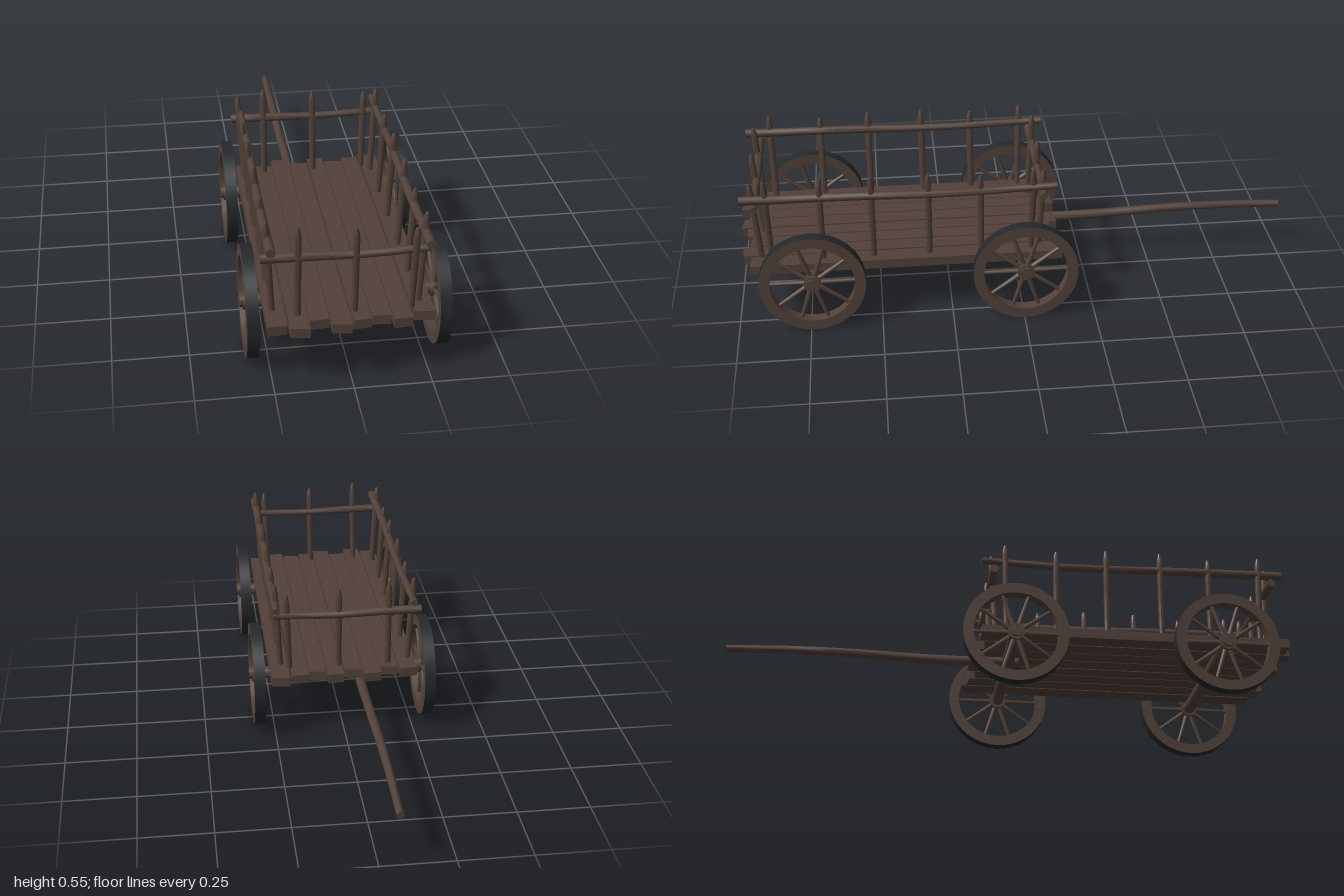
import * as THREE from 'three';
import { toCreasedNormals } from 'three/addons/utils/BufferGeometryUtils.js';

const wood = new THREE.MeshStandardMaterial({ color: 0x524139 });
wood.name = 'dark wood';
const iron = new THREE.MeshStandardMaterial({ color: 0x25282a });
iron.name = 'iron tyre';

const V = (x, y, z) => new THREE.Vector3(x, y, z);

function add(parent, name, geometry, material = wood) {
  const mesh = new THREE.Mesh(geometry, material);
  mesh.name = name;
  parent.add(mesh);
  return mesh;
}

// Capped round pole that follows a gentle curve through the points
function rod(points, r0, r1 = r0, sides = 12) {
  const curve = new THREE.CatmullRomCurve3(points);
  const dir = points[points.length - 1].clone().sub(points[0]).normalize();
  const turn = new THREE.Quaternion().setFromUnitVectors(V(0, 1, 0), dir);
  const geo = new THREE.CylinderGeometry(r1, r0, 1, sides, 10);
  const pos = geo.attributes.position;
  for (let i = 0; i < pos.count; i++) {
    const p = V(pos.getX(i), 0, pos.getZ(i)).applyQuaternion(turn);
    p.add(curve.getPoint(THREE.MathUtils.clamp(pos.getY(i) + 0.5, 0, 1)));
    pos.setXYZ(i, p.x, p.y, p.z);
  }
  return toCreasedNormals(geo, 0.9);
}

// Upright stake with a whittled tip
function addStake(parent, name, foot, top) {
  const h = top.distanceTo(foot);
  const profile = [[0, 0], [0.0105, 0], [0.0115, h * 0.6], [0.0115, h - 0.04],
    [0.009, h - 0.016], [0.005, h - 0.002], [0, h]].map(([x, y]) => new THREE.Vector2(x, y));
  const stake = add(parent, name, toCreasedNormals(new THREE.LatheGeometry(profile, 10), 0.9));
  stake.position.copy(foot);
  stake.quaternion.setFromUnitVectors(V(0, 1, 0), top.clone().sub(foot).normalize());
}

// Spoked wheel, its axis along x
function makeWheel() {
  const wheel = new THREE.Group();
  wheel.name = 'wheel';
  const R = 0.184, inner = 0.147, w = 0.0195;
  const profile = [[R, w], [inner, w], [inner, -w], [R, -w]].map(([x, y]) => new THREE.Vector2(x, y));
  const rim = add(wheel, 'rim', toCreasedNormals(new THREE.LatheGeometry(profile, 40), 0.6));
  const tyre = add(wheel, 'tyre', new THREE.CylinderGeometry(R, R, 2 * w, 40, 1, true), iron);
  const hub = add(wheel, 'hub', new THREE.CylinderGeometry(0.03, 0.03, 0.037, 16));
  for (const part of [rim, tyre, hub]) part.rotation.z = Math.PI / 2;
  for (let i = 0; i < 10; i++) {
    const a = (i + 0.5) * Math.PI / 5;
    const spoke = add(wheel, 'spoke', new THREE.CylinderGeometry(0.0065, 0.009, 0.13, 8));
    spoke.position.set(0, Math.cos(a) * 0.088, Math.sin(a) * 0.088);
    spoke.rotation.x = a;
  }
  return wheel;
}

export function createModel() {
  const cart = new THREE.Group();
  cart.name = 'handcart';

  // Floor planks: centre x, width, back end z, front end z
  const planks = [[-0.236, 0.062, -0.12, 0.97], [-0.168, 0.062, -0.1, 0.992],
    [-0.103, 0.062, -0.143, 0.95], [-0.037, 0.062, -0.11, 0.985], [0.029, 0.057, -0.14, 0.965],
    [0.092, 0.06, -0.11, 0.95], [0.157, 0.06, -0.13, 0.975], [0.227, 0.066, -0.143, 0.945]];
  planks.forEach(([x, width, z0, z1], i) => {
    const geo = new THREE.BoxGeometry(width, 0.033, z1 - z0);
    const pos = geo.attributes.position;
    // Slightly skewed saw cuts
    for (let k = 0; k < pos.count; k++) {
      pos.setZ(k, pos.getZ(k) + pos.getX(k) * (i % 2 ? 0.12 : -0.08));
    }
    geo.computeVertexNormals();
    add(cart, 'floorPlank', geo).position.set(x, 0.2135, (z0 + z1) / 2);
  });

  // Axles and wheels
  for (const z of [0.735, -0.005]) {
    add(cart, 'axle', rod([V(-0.333, 0.185, z), V(0.333, 0.185, z)], 0.022, 0.022, 16));
    for (const x of [-0.305, 0.305]) {
      const wheel = makeWheel();
      wheel.position.set(x, 0.184, z);
      cart.add(wheel);
    }
  }

  // Draw pole
  add(cart, 'drawPole', rod([V(-0.062, 0.184, 0.03), V(-0.064, 0.18, -0.25),
    V(-0.068, 0.188, -0.55), V(-0.068, 0.19, -0.75), V(-0.066, 0.184, -1)], 0.018, 0.013));

  // Side stakes and rails
  const sideZ = [0.88, 0.695, 0.52, 0.325, 0.145, -0.038];
  const sideTop = [0.548, 0.532, 0.548, 0.548, 0.533, 0.548];
  for (const [footX, topX, railX, railY] of [[-0.242, -0.262, -0.253, 0.482], [0.219, 0.238, 0.237, 0.475]]) {
    sideZ.forEach((z, i) => {
      const lean = i === 0 ? -0.008 : i === 5 ? 0.008 : 0;
      addStake(cart, 'sideStake', V(footX, 0.205, z + lean), V(topX, sideTop[i], z));
    });
    add(cart, 'sideRail', rod([V(railX, railY + 0.004, 0.965), V(railX - 0.003, railY, 0.6),
      V(railX + 0.003, railY - 0.004, 0.25), V(railX, railY + 0.004, -0.12)], 0.0155, 0.012));
  }

  // End stakes and rails
  const ends = [[-0.167, -0.167, 0.552], [0.012, 0.012, 0.537], [0.19, 0.2, 0.524]];
  for (const [footZ, topZ, railZ] of [[0.908, 0.93, 0.918], [-0.06, -0.078, -0.077]]) {
    for (const [footX, topX, topY] of ends) {
      addStake(cart, 'endStake', V(footX, 0.205, footZ), V(topX, topY, topZ));
    }
    add(cart, 'endRail', rod([V(-0.283, 0.443, railZ), V(-0.12, 0.441, railZ),
      V(0.03, 0.437, railZ), V(0.245, 0.444, railZ)], 0.0155, 0.012));
  }

  return cart;
}
